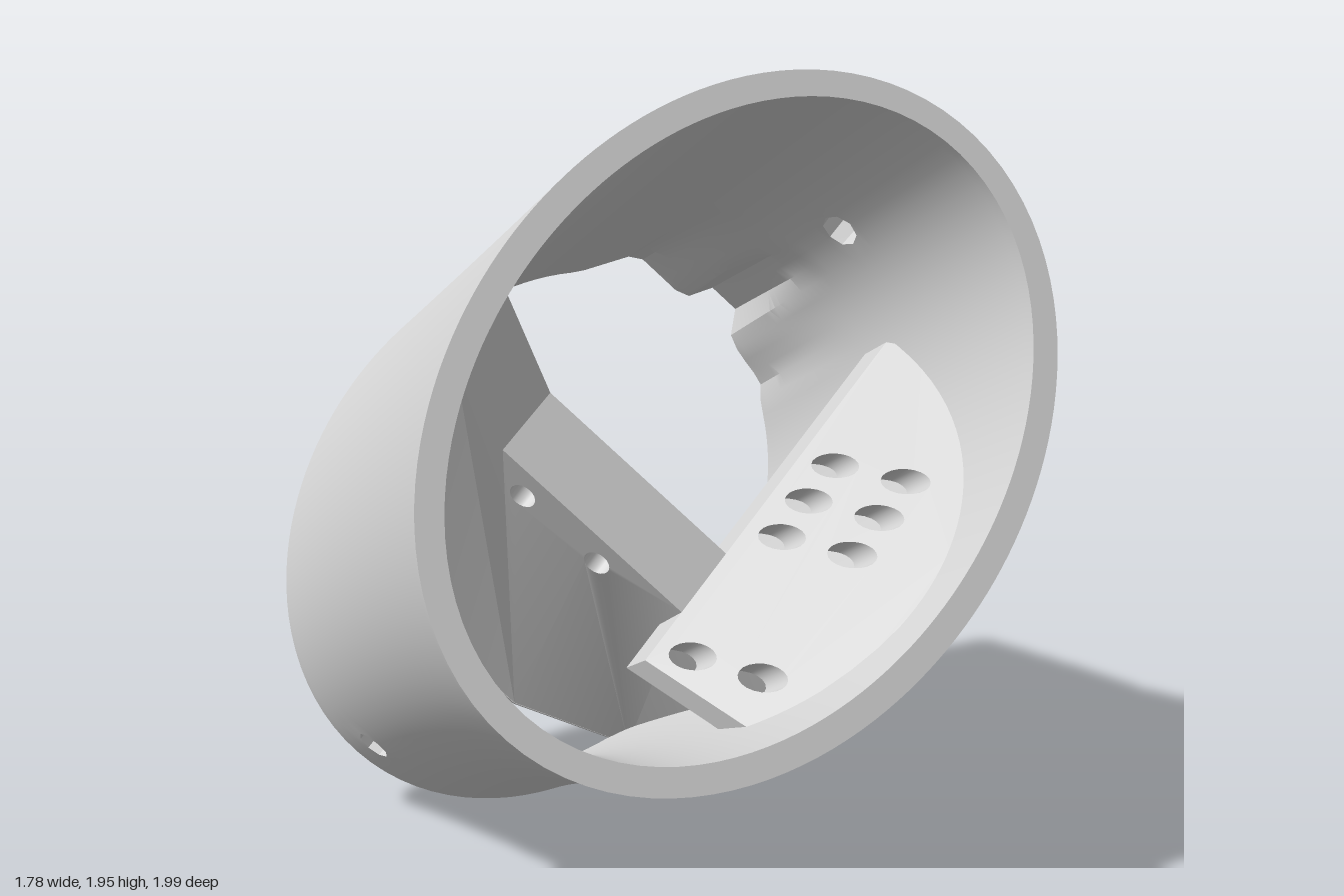
import * as THREE from 'three';
import { toCreasedNormals } from 'three/addons/utils/BufferGeometryUtils.js';

const REAR = -0.313, FRONT = 1.099, LEN = FRONT - REAR;
const SEG = 120, ROWS = 42;
const BLOCK_BORES = [[0.9, -0.135], [0.9, 0.145]];

// Local frame: x = long axis of the oval, y = short axis, z = tube axis (front is +z)
function oval(w, inset) {
  const u = (w - REAR) / LEN, f = 1 - u * u;
  return { a: 0.966 - 0.094 * f - inset, b: 0.685 - 0.032 * f - inset, cx: -0.047 + 0.079 * f, cy: -0.02 + 0.018 * f };
}

// Corner block at the rear, as open outlines seen from the oval's centre
const BLOCK_OUT = [[0.74, -0.345], [0.93, -0.275], [0.957, -0.245], [0.957, 0.27], [0.93, 0.315], [0.62, 0.45]];
const BLOCK_IN = [[0.6, -0.36], [0.76, -0.24], [0.79, -0.09], [0.88, -0.06], [0.88, 0.06], [0.79, 0.09], [0.79, 0.28], [0.5, 0.44]];

function rayToOutline(points, t) {
  const c = Math.cos(t), s = Math.sin(t);
  for (let k = 0; k < points.length - 1; k++) {
    const [x0, y0] = points[k], [x1, y1] = points[k + 1];
    if (c < 0 || Math.atan2(y0, x0) > t || Math.atan2(y1, x1) < t) continue;
    const dx = x1 - x0, dy = y1 - y0;
    return (x0 * dy - y0 * dx) / (c * dy - s * dx);
  }
  return 0;
}

function wallPoint(theta, w, inside) {
  const t = Math.atan2(Math.sin(theta), Math.cos(theta));
  const e = oval(w, inside ? 0.068 : 0);
  let r = 1 / Math.hypot(Math.cos(t) / e.a, Math.sin(t) / e.b);
  const grow = Math.max(0, (0.29 - w) / (0.29 - REAR)) ** (inside ? 1 : 0.65);
  r += grow * Math.max(0, rayToOutline(inside ? BLOCK_IN : BLOCK_OUT, t) - r);
  return [e.cx + r * Math.cos(t), e.cy + r * Math.sin(t), w];
}

// Oval tube wall with round holes bored through it; the rear is closed by rearRim
function tubeGeometry() {
  const step = 2 * Math.PI / SEG, rowStep = LEN / ROWS;
  const nodes = [], skip = new Set(), loops = [];
  for (let i = 0; i < SEG; i++) {
    nodes.push([]);
    for (let j = 0; j <= ROWS; j++) nodes[i].push([i * step, REAR + j * rowStep]);
  }
  const wrap = i => (i + SEG) % SEG;
  const ring = [[1, 0], [1, 1], [0, 1], [-1, 1], [-1, 0], [-1, -1], [0, -1], [1, -1]];
  for (const [deg, w, radius] of [[0, 0.5, 0.055], [75, -0.17, 0.044], [-76, -0.17, 0.044], [180, -0.17, 0.044]]) {
    const i0 = wrap(Math.round(deg * Math.PI / 180 / step)), j0 = Math.round((w - REAR) / rowStep);
    const o = wallPoint(i0 * step, w, false), arc = Math.hypot(o[0], o[1]);
    loops.push(ring.map(([di, dj]) => {
      const al = Math.atan2(dj, di);
      const n = [i0 * step + radius * Math.cos(al) / arc, w + radius * Math.sin(al)];
      nodes[wrap(i0 + di)][j0 + dj] = n;
      return n;
    }));
    for (const di of [-1, 0]) for (const dj of [-1, 0]) skip.add(wrap(i0 + di) + '_' + (j0 + dj));
  }
  const pos = [];
  const quad = (a, b, c, d) => pos.push(...a, ...b, ...c, ...a, ...c, ...d);
  const out = n => wallPoint(n[0], n[1], false), inn = n => wallPoint(n[0], n[1], true);
  for (let i = 0; i < SEG; i++) {
    const A = nodes[i], B = nodes[wrap(i + 1)];
    for (let j = 0; j < ROWS; j++) {
      if (skip.has(i + '_' + j)) continue;
      quad(out(A[j]), out(B[j]), out(B[j + 1]), out(A[j + 1]));
      quad(inn(A[j + 1]), inn(B[j + 1]), inn(B[j]), inn(A[j]));
    }
    quad(out(A[ROWS]), out(B[ROWS]), inn(B[ROWS]), inn(A[ROWS]));
  }
  for (const l of loops) l.forEach((n, k) => {
    const m = l[(k + 1) % l.length];
    quad(out(n), out(m), inn(m), inn(n));
  });
  const g = new THREE.BufferGeometry();
  g.setAttribute('position', new THREE.Float32BufferAttribute(pos, 3));
  return toCreasedNormals(g, 0.5);
}

function shapeWithHoles(points, holes, radius) {
  const s = new THREE.Shape(points.map(p => new THREE.Vector2(p[0], p[1])));
  for (const [x, y] of holes) s.holes.push(new THREE.Path().absarc(x, y, radius, 0, Math.PI * 2, true));
  return s;
}

// Flat rear rim, with the two block bores
function rearRimGeometry() {
  const contour = inside => Array.from({ length: SEG }, (_, i) => wallPoint(i * 2 * Math.PI / SEG, REAR, inside));
  const s = shapeWithHoles(contour(false), BLOCK_BORES, 0.03);
  s.holes.push(new THREE.Path(contour(true).map(p => new THREE.Vector2(p[0], p[1]))));
  return new THREE.ShapeGeometry(s, 8).translate(0, 0, REAR);
}

function reshape(geometry, rule) {
  const p = geometry.attributes.position;
  for (let i = 0; i < p.count; i++) p.setXYZ(i, ...rule(p.getX(i), p.getY(i), p.getZ(i)));
  return toCreasedNormals(geometry, 0.4);
}

// Place a cross bar point: the bar leans, flares at its rear ends and stops inside the wall
function barPoint(q, w, d) {
  const rear = THREE.MathUtils.clamp((0.45 - w) / 0.76, 0, 1);
  const end = Math.min(1, Math.max(0, Math.abs(q) - 0.25) / 0.35);
  let p = -0.25 + d - 0.205 * rear - 0.05 * (w > 0.5 ? 1 : 0);
  if (q < 0) p += 0.13 * end * rear;
  else if (d > 0.1) p += 0.16 * end * rear;
  const e = oval(w, 0.025), lim = e.b * Math.sqrt(1 - ((p - e.cx) / e.a) ** 2);
  return [p, THREE.MathUtils.clamp(q, e.cy - lim, e.cy + lim), w];
}

// Cross bar: side profile extruded across its width
function crossBarGeometry() {
  const back = REAR + 0.009;
  const profile = [[-0.62, back], [-0.25, back], [0.25, back], [0.62, back], [0.62, 0.85], [0.3, 0.45], [-0.3, 0.45], [-0.62, 0.85]];
  const g = new THREE.ExtrudeGeometry(shapeWithHoles(profile, [[0.18, 0.37], [-0.07, 0.37]], 0.035),
    { depth: 0.2, bevelEnabled: false, curveSegments: 10 });
  return reshape(g, barPoint);
}

// Drilled plate over the bar's rear face
function barPlateGeometry() {
  const qs = [-0.62, -0.25, 0.25, 0.62];
  const outline = [...qs.map(q => barPoint(q, REAR, 0)), ...qs.reverse().map(q => barPoint(q, REAR, 0.2))];
  return new THREE.ExtrudeGeometry(shapeWithHoles(outline, [[-0.36, -0.08], [-0.36, 0.19]], 0.03),
    { depth: 0.009, bevelEnabled: false, curveSegments: 8 }).translate(0, 0, REAR);
}

// Sloping shelf with drilled holes along one long wall
function shelfGeometry() {
  const points = [[0.72, -0.3], [-0.41, -0.3]];
  for (let k = 0; k <= 16; k++) {
    const p = -0.5 + 1.22 * k / 16;
    points.push([p, -0.63 * Math.sqrt(1 - (p / 0.885) ** 2)]);
  }
  const holes = [];
  for (const p of [-0.36, 0.04, 0.165, 0.29]) holes.push([p, -0.365], [p, -0.487]);
  const g = new THREE.ExtrudeGeometry(shapeWithHoles(points, holes, 0.04),
    { depth: 0.12, bevelEnabled: false, curveSegments: 10 });
  return reshape(g, (p, q, d) => [p, q, 0.33 + d + 1.55 * (-q - 0.3)]);
}

export function createModel() {
  const grey = new THREE.MeshStandardMaterial({ color: 0xd4d4d4, side: THREE.DoubleSide });
  grey.name = 'light grey';

  const model = new THREE.Group();
  model.name = 'ovalHousing';
  const tilt = new THREE.Group();
  tilt.name = 'tiltedFrame';
  tilt.rotation.x = -0.414;
  model.add(tilt);
  const frame = new THREE.Group();
  frame.name = 'ovalFrame';
  frame.position.set(-0.01, 0.88, 0);
  frame.rotation.z = 0.726;
  tilt.add(frame);

  const add = (name, geometry) => {
    const m = new THREE.Mesh(geometry, grey);
    m.name = name;
    frame.add(m);
  };
  add('tubeWall', tubeGeometry());
  add('rearRim', rearRimGeometry());
  add('crossBar', crossBarGeometry());
  add('barPlate', barPlateGeometry());
  add('holedShelf', shelfGeometry());

  // Screw bores running into the corner block
  for (const [p, q] of BLOCK_BORES) {
    add('screwBore', new THREE.CylinderGeometry(0.03, 0.03, 0.2, 16, 1, true).rotateX(Math.PI / 2).translate(p, q, REAR + 0.1));
  }
  return model;
}
